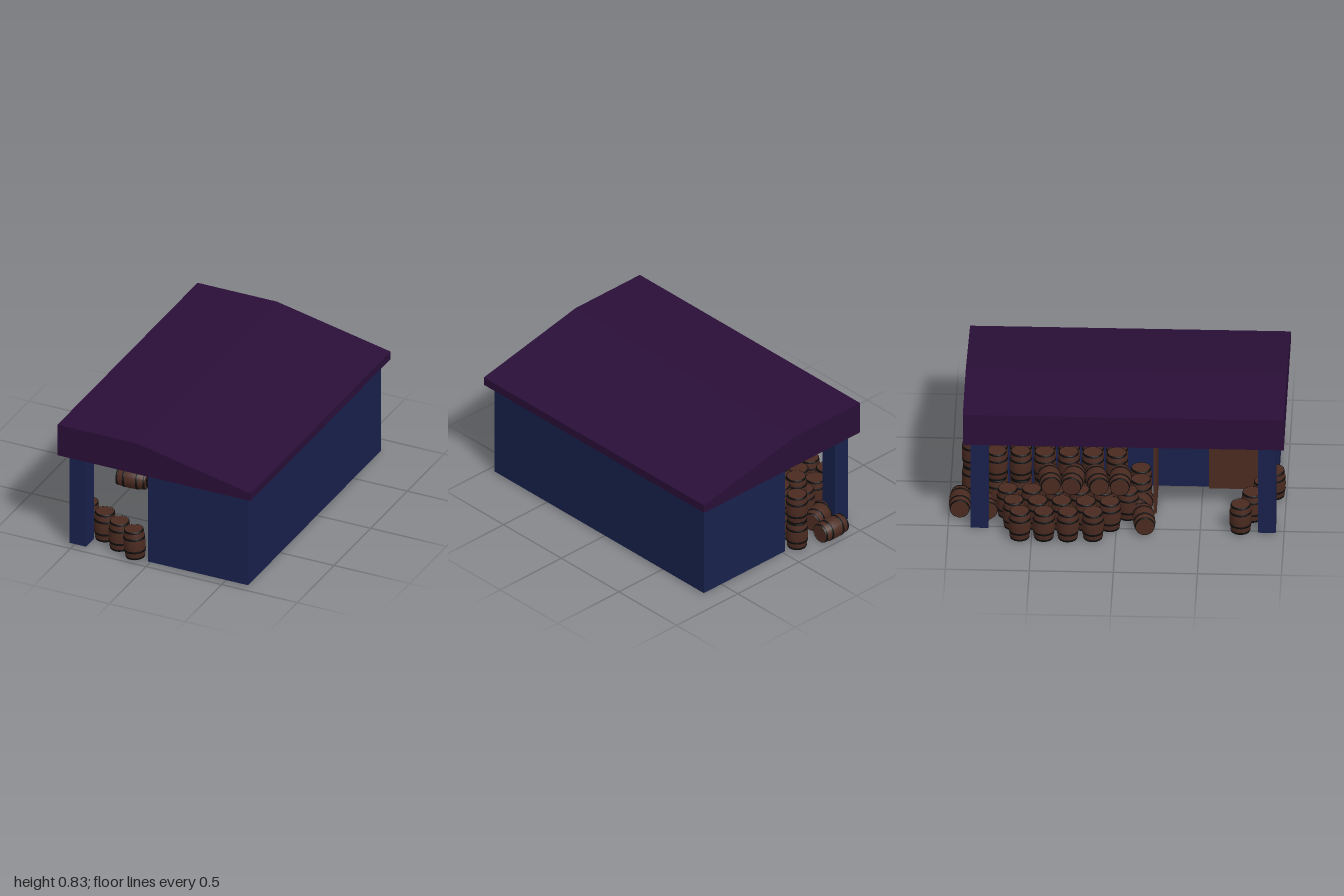
import * as THREE from 'three';

const mat = (color, side = THREE.FrontSide) => new THREE.MeshStandardMaterial({ color, side });
const wallMat = mat(0x18214c), roofMat = mat(0x2a0f38), woodMat = mat(0x4a2a20), ironMat = mat(0x0c0b0b);

// Box given by its minimum and maximum corners
function box(name, [x0, y0, z0], [x1, y1, z1], material) {
  const mesh = new THREE.Mesh(new THREE.BoxGeometry(x1 - x0, y1 - y0, z1 - z0), material);
  mesh.position.set((x0 + x1) / 2, (y0 + y1) / 2, (z0 + z1) / 2);
  mesh.name = name;
  return mesh;
}

// Barrel geometry, centred on its own axis
const H = 0.185;
const radiusAt = (y) => 0.066 - 0.01 * (2 * y / H) ** 2;
const lathe = (pts) => new THREE.LatheGeometry(pts.map(([r, y]) => new THREE.Vector2(r, y)), 18);

function staveGeometry() {
  const pts = [];
  for (let i = 0; i <= 8; i++) {
    const y = -H / 2 + (H * i) / 8;
    pts.push([radiusAt(y), y]);
  }
  return lathe(pts);
}
function hoopGeometry(y, h) {
  const a = y - h / 2, b = y + h / 2, t = 0.0015;
  return lathe([[radiusAt(a) - t, a], [radiusAt(a) + t, a], [radiusAt(b) + t, b], [radiusAt(b) - t, b]]);
}
const staves = staveGeometry();
const hoops = [[-0.086, 0.012], [-0.042, 0.013], [0.042, 0.013], [0.086, 0.012]].map(([y, h]) => hoopGeometry(y, h));
const lid = new THREE.CylinderGeometry(0.056, 0.056, H - 0.006, 18);

function barrel(x, y, z, rx = 0, ry = 0, rz = 0) {
  const g = new THREE.Group();
  g.name = 'barrel';
  g.add(new THREE.Mesh(staves, woodMat), new THREE.Mesh(lid, woodMat));
  hoops.forEach((h) => g.add(new THREE.Mesh(h, ironMat)));
  g.children.forEach((m, i) => { m.name = ['barrelStaves', 'barrelLids'][i] || 'barrelHoop'; });
  g.position.set(x, y, z);
  g.rotation.set(rx, ry, rz);
  return g;
}

export function createModel() {
  const model = new THREE.Group();
  model.name = 'storehouse';

  // Closed store room
  model.add(box('storeRoom', [-0.012, 0.01, -0.865], [0.65, 0.62, 0.95], wallMat));

  // Roof posts on the open side
  model.add(box('frontPost', [-0.53, 0.01, 0.845], [-0.42, 0.63, 0.95], wallMat));
  model.add(box('backPost', [-0.53, 0.01, -0.865], [-0.42, 0.63, -0.76], wallMat));

  // Roof: flat over the open side, sloping down over the room
  const profile = new THREE.Shape();
  profile.moveTo(-0.585, 0.62);
  profile.lineTo(0.69, 0.62);
  profile.lineTo(0.69, 0.672);
  profile.lineTo(-0.06, 0.828);
  profile.lineTo(-0.585, 0.828);
  const roof = new THREE.Mesh(new THREE.ExtrudeGeometry(profile, { depth: 1.91, bevelEnabled: false }), roofMat);
  roof.position.z = -0.91;
  roof.name = 'roof';
  model.add(roof);

  // Double door: one leaf swung open, one closed
  model.add(box('openDoorLeaf', [-0.325, 0.005, 0.215], [-0.012, 0.52, 0.235], woodMat));
  model.add(box('closedDoorLeaf', [-0.026, 0.005, 0.535], [-0.008, 0.52, 0.85], woodMat));

  const barrels = new THREE.Group();
  barrels.name = 'barrels';
  model.add(barrels);
  const low = 0.104, high = 0.285, lie = Math.PI / 2;
  const add = (...a) => barrels.add(barrel(...a));

  // Row by the front post
  add(-0.11, 0.108, 0.93, 0, 0, 0.06);
  add(-0.237, low, 0.87);
  add(-0.365, low, 0.805);
  add(-0.505, low, 0.74);

  // Ground layer of the stack: [x, first z, count]
  const pitch = 0.143;
  [[-0.11, -0.866, 8], [-0.24, -0.72, 7], [-0.37, -0.65, 6], [-0.5, -0.61, 5], [-0.625, -0.57, 3]].forEach(([x, z, n]) => {
    for (let i = 0; i < n; i++) add(x, low, z + i * pitch);
  });
  add(-0.625, 0.108, -0.135, 0, 0, 0.06);

  // Second layer, upright
  [[-0.11, -0.866, 7], [-0.24, -0.72, 6]].forEach(([x, z, n]) => {
    for (let i = 0; i < n; i++) add(x, high, z + i * pitch);
  });

  // Barrels lying on top of the stack
  for (let i = 0; i < 4; i++) add(-0.375, 0.268, -0.4 + i * 0.14, 0, [0.12, -0.1, 0.2, 0][i], lie);

  // Loose barrels lying on the ground
  add(-0.325, 0.068, -0.934, 0, 0, lie);
  add(-0.49, 0.068, 0.165, 0, 0.1, lie);
  add(-0.33, 0.068, 0.14, 0, -0.25, lie);
  add(-0.36, 0.075, -0.79, 0, 0.3, lie);
  return model;
}
